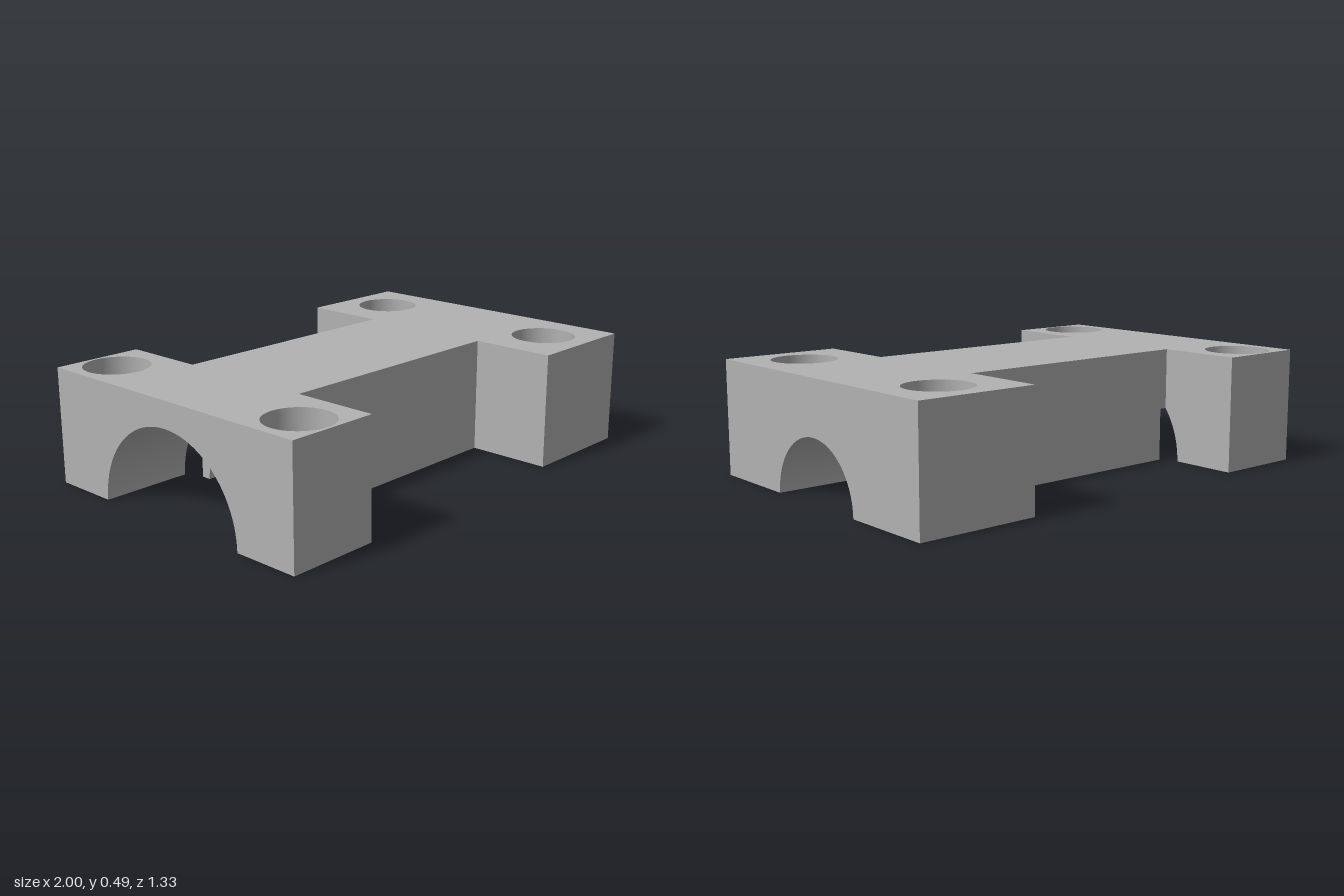
import * as THREE from 'three';
import { mergeGeometries } from 'three/addons/utils/BufferGeometryUtils.js';

const H = 0.488;                              // height
const PAD = 0.665, BEAM = 0.302;              // half depths of pads and beam
const X0 = -1, X1 = -0.608, X2 = 0.482, X3 = 1; // pad limits along x
const STEP = -0.575;                          // where the wide channel meets the narrow one
const WIDE = 0.378, NARROW = 0.26;            // channel radii
const HOLE = 0.137;
const HOLES = [[-0.82, 0.516], [0.755, 0.454]];
const CUT = Math.acos(BEAM / WIDE);           // angle where the wide channel breaks through the beam side
const NOTCH = WIDE * Math.sin(CUT);

// Points on a channel arc in the (z, y) plane
function arc(r, a, b, n = 32) {
  return Array.from({ length: n + 1 }, (_, i) => {
    const t = a + (b - a) * i / n;
    return [r * Math.cos(t), r * Math.sin(t)];
  });
}

// Turn a surface inside out
function flip(geo) {
  const ix = geo.index.array;
  for (let i = 0; i < ix.length; i += 3) [ix[i], ix[i + 1]] = [ix[i + 1], ix[i]];
  const n = geo.attributes.normal.array;
  for (let i = 0; i < n.length; i++) n[i] = -n[i];
  return geo;
}

// Mirrored copy across z = 0
function mirror(geo) {
  const g = geo.clone();
  for (const key of ['position', 'normal']) {
    const a = g.attributes[key];
    for (let i = 0; i < a.count; i++) a.setZ(i, -a.getZ(i));
  }
  const ix = g.index.array;
  for (let i = 0; i < ix.length; i += 3) [ix[i], ix[i + 1]] = [ix[i + 1], ix[i]];
  return g;
}

function face(points, holes = []) {
  const shape = new THREE.Shape(points.map(([u, v]) => new THREE.Vector2(u, v)));
  for (const [x, z] of holes) shape.holes.push(new THREE.Path().absarc(x, z, HOLE, 0, Math.PI * 2, true));
  return new THREE.ShapeGeometry(shape, 32);
}

const rect = (a, b, c, d) => [[a, b], [c, b], [c, d], [a, d]];
const faceDown = (points, holes) => face(points, holes).rotateX(Math.PI / 2);
const faceLeft = (x, points) => face(points).rotateY(-Math.PI / 2).translate(x, 0, 0);
const faceRight = (x, points) => flip(faceLeft(x, points));
const faceFront = (z, points) => face(points).translate(0, 0, z);

// Part of a channel roof between two x positions
function channel(r, xa, xb, from = 0) {
  const g = new THREE.CylinderGeometry(r, r, xb - xa, 32, 1, true, from, Math.PI / 2 - from);
  return flip(g.rotateZ(Math.PI / 2).translate((xa + xb) / 2, 0, 0));
}

export function createModel() {
  const group = new THREE.Group();
  const grey = new THREE.MeshStandardMaterial({ color: 0xb2b2b2 });
  grey.name = 'grey';

  // Each part is described for the front half and mirrored to the back
  const add = (name, halves) => {
    const mesh = new THREE.Mesh(mergeGeometries(halves.flatMap(g => [g, mirror(g)])), grey);
    mesh.name = name;
    group.add(mesh);
  };

  add('topFace', [flip(faceDown([
    [X0, 0], [X3, 0], [X3, PAD], [X2, PAD], [X2, BEAM], [X1, BEAM], [X1, PAD], [X0, PAD],
  ], HOLES)).translate(0, H, 0)]);

  add('footSoles', [
    faceDown(rect(X0, WIDE, X1, PAD), [HOLES[0]]),
    faceDown([[STEP, NARROW], [X3, NARROW], [X3, PAD], [X2, PAD], [X2, BEAM], [STEP, BEAM]], [HOLES[1]]),
  ]);

  // Ends with the arched opening
  const end = r => [...arc(r, Math.PI / 2, 0), [PAD, 0], [PAD, H], [0, H]];
  add('archedEnds', [faceLeft(X0, end(WIDE)), faceRight(X3, end(NARROW))]);

  add('padWalls', [
    faceFront(PAD, rect(X0, 0, X1, H)),
    faceFront(PAD, rect(X2, 0, X3, H)),
    faceRight(X1, [...arc(WIDE, CUT, 0), [PAD, 0], [PAD, H], [BEAM, H]]),
    faceLeft(X2, rect(BEAM, 0, PAD, H)),
  ]);

  // Beam side with the narrow notch left by the wide channel
  add('beamSides', [faceFront(BEAM, [
    [STEP, 0], [X2, 0], [X2, H], [X1, H], [X1, NOTCH], [STEP, NOTCH],
  ])]);

  add('channel', [
    channel(WIDE, X0, X1),
    channel(WIDE, X1, STEP, CUT),
    channel(NARROW, STEP, X3),
    // Shoulder between the two radii
    faceLeft(STEP, [...arc(NARROW, Math.PI / 2, 0), [BEAM, 0], ...arc(WIDE, CUT, Math.PI / 2)]),
  ]);

  add('boltHoles', HOLES.map(([x, z]) =>
    flip(new THREE.CylinderGeometry(HOLE, HOLE, H, 64, 1, true)).translate(x, H / 2, z)));

  return group;
}
